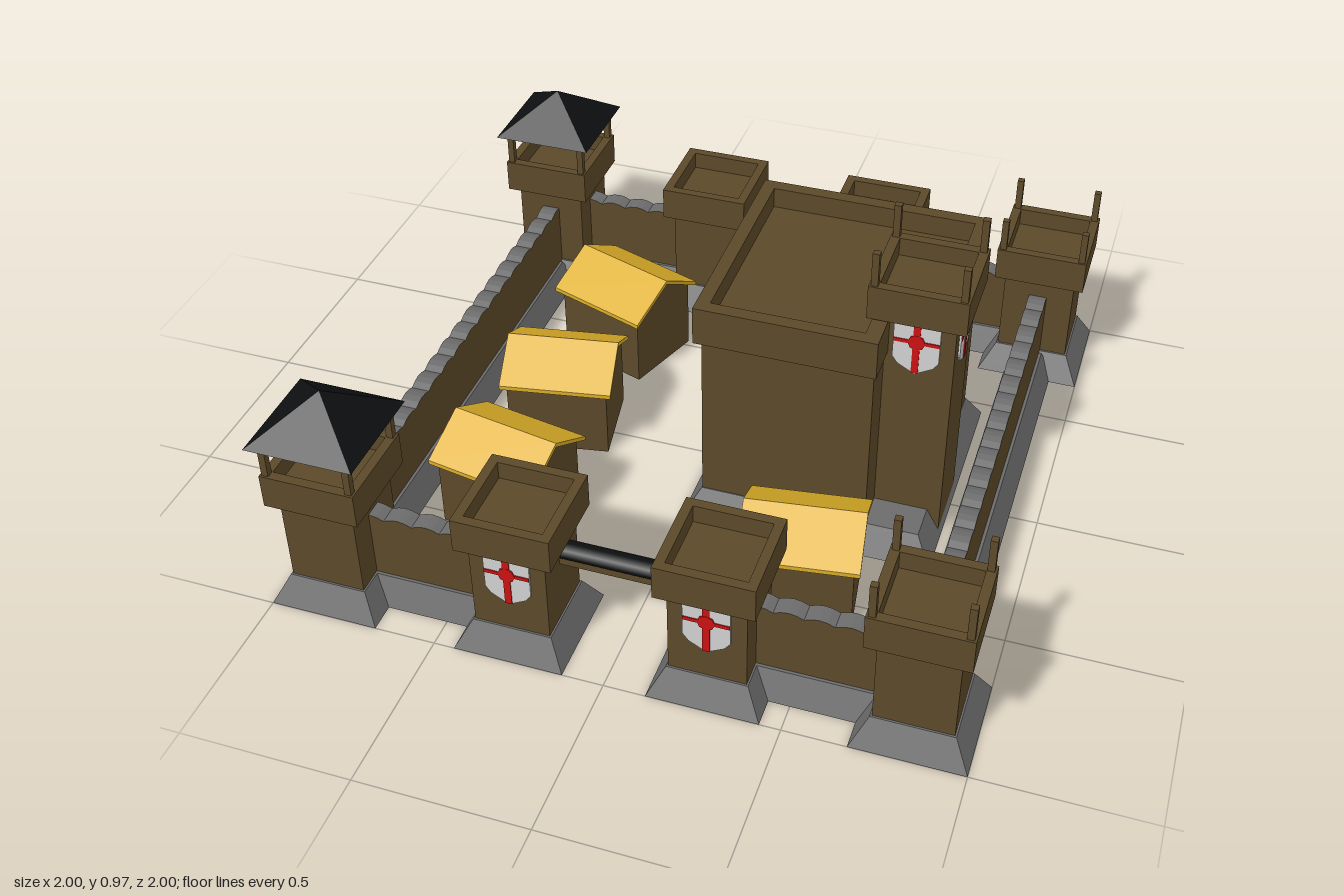
import * as THREE from 'three';

const mat = (name, color) => Object.assign(new THREE.MeshStandardMaterial({ color }), { name });

export function createModel() {
  const wood = mat('wood brown', 0x5c492a);
  const stone = mat('stone grey', 0x6c6c6c);
  stone.side = THREE.DoubleSide;
  const black = mat('roof black', 0x0e0f10);
  const thatch = mat('thatch yellow', 0xdcae27);
  const white = mat('shield white', 0xd2d2d2);
  const red = mat('cross red', 0xcc1212);

  const model = new THREE.Group();
  model.name = 'fort';

  const add = (parent, name, geo, material, x = 0, y = 0, z = 0) => {
    const m = new THREE.Mesh(geo, material);
    m.name = name;
    m.position.set(x, y, z);
    parent.add(m);
    return m;
  };
  const group = (name, x = 0, y = 0, z = 0, parent = model) => {
    const g = new THREE.Group();
    g.name = name;
    g.position.set(x, y, z);
    parent.add(g);
    return g;
  };
  const shapeOf = pts => new THREE.Shape(pts.map(p => new THREE.Vector2(p[0], p[1])));
  const extrude = (shape, depth) => new THREE.ExtrudeGeometry(shape, { depth, bevelEnabled: false });
  // Footprint given in (x, -z), raised along y
  const raise = (shape, height) => extrude(shape, height).rotateX(-Math.PI / 2);
  const square = h => [[-h, -h], [h, -h], [h, h], [-h, h]];

  // Sloped stone footing, open underneath: a box narrowed at the top
  const footing = (w, d, inset, h = 0.085) => {
    const g = new THREE.BoxGeometry(w, h, d).translate(0, h / 2, 0);
    const p = g.attributes.position;
    for (let i = 0; i < p.count; i++) {
      if (p.getY(i) > h / 2) {
        p.setX(i, p.getX(i) - Math.sign(p.getX(i)) * inset);
        p.setZ(i, p.getZ(i) - Math.sign(p.getZ(i)) * inset);
      }
    }
    const index = Array.from(g.index.array);
    index.splice(18, 6); // remove the bottom face
    g.setIndex(index);
    g.clearGroups();
    const flat = g.toNonIndexed();
    flat.computeVertexNormals();
    return flat;
  };

  // Solid platform with a raised rim round it
  const battlement = (parent, outer, inner, y, height, floor) => {
    add(parent, 'platform', raise(shapeOf(outer), floor), wood, 0, y, 0);
    const rim = shapeOf(outer);
    rim.holes.push(shapeOf(inner));
    add(parent, 'parapet', raise(rim, height - floor), wood, 0, y + floor, 0);
  };

  const posts = (parent, y, height) => {
    for (const sx of [-1, 1]) for (const sz of [-1, 1]) {
      add(parent, 'post', new THREE.BoxGeometry(0.02, height, 0.02), wood, sx * 0.124, y + height / 2, sz * 0.124);
    }
  };

  // Shield with a cross, top edge at local y = 0, facing +z
  const shield = (parent, x, y, z, turn = 0) => {
    const g = group('shield', x, y, z, parent);
    g.rotation.y = turn;
    const outline = shapeOf([[-0.066, 0], [-0.066, -0.13], [-0.05, -0.152], [0, -0.18], [0.05, -0.152], [0.066, -0.13], [0.066, 0]]);
    add(g, 'shieldPlate', extrude(outline, 0.006), white);
    add(g, 'crossUpright', new THREE.BoxGeometry(0.02, 0.174, 0.003), red, 0, -0.087, 0.0075);
    add(g, 'crossBar', new THREE.BoxGeometry(0.13, 0.011, 0.003), red, 0, -0.07, 0.0075);
    add(g, 'crossCentre', new THREE.CylinderGeometry(0.025, 0.025, 0.004, 8).rotateX(Math.PI / 2), red, 0, -0.07, 0.0075);
  };

  // Eight wall towers: corners carry posts, the left corners also roofs
  for (const z of [-0.84, 0.84]) for (const x of [-0.84, -0.28, 0.28, 0.84]) {
    const corner = Math.abs(x) > 0.5;
    const t = group(corner ? 'cornerTower' : 'gateTower', x, 0, z);
    add(t, 'towerFooting', footing(0.32, 0.32, 0.045), stone);
    add(t, 'towerBody', new THREE.BoxGeometry(0.22, 0.28, 0.22), wood, 0, 0.226, 0);
    battlement(t, square(0.14), square(0.112), 0.36, 0.106, 0.05);
    if (corner) posts(t, 0.41, 0.16);
    if (x < -0.5) {
      const roof = new THREE.ConeGeometry(0.16 * Math.SQRT2, 0.12, 4, 1).rotateY(Math.PI / 4);
      add(t, 'towerRoof', roof.toNonIndexed(), black, 0, 0.63, 0).geometry.computeVertexNormals();
    }
    if (!corner && z > 0) shield(t, 0, 0.36, 0.111);
  }

  // Walls with a scalloped stone top
  const wall = (x, z, length, turn) => {
    const g = group('wall', x, 0, z);
    g.rotation.y = turn;
    add(g, 'wallFooting', footing(length, 0.15, 0.038), stone);
    const pts = [[-length / 2, 0.08], [length / 2, 0.08]];
    const n = Math.round(length / 0.09) * 4;
    for (let i = n; i >= 0; i--) {
      pts.push([(i / n - 0.5) * length, 0.287 + 0.012 * Math.sin((i / 4 % 1) * Math.PI)]);
    }
    add(g, 'wallBody', extrude(shapeOf(pts), 0.056).translate(0, 0, -0.028), [wood, stone]);
  };
  for (const s of [-1, 1]) {
    wall(s * 0.84, 0, 1.5, Math.PI / 2);
    wall(-0.56, s * 0.84, 0.42, 0);
    wall(0.56, s * 0.84, 0.42, 0);
    // Gate beam
    const beam = new THREE.CylinderGeometry(0.032, 0.032, 0.36, 8).rotateZ(Math.PI / 2).scale(1, 0.7, 1);
    add(model, 'gateBeam', beam, black, 0, 0.315, s * 0.84);
    add(model, 'gateBoard', new THREE.BoxGeometry(0.36, 0.025, 0.03), wood, 0, 0.282, s * 0.84);
  }

  // Keep, with its front left corner cut away for the turret
  const keep = group('keep', 0.36, 0, -0.08);
  const cut = (h, cx, cz) => [[-h, -h], [cx, -h], [cx, -cz], [h, -cz], [h, h], [-h, h]];
  add(keep, 'keepFooting', footing(0.755, 0.755, 0.048), stone);
  add(keep, 'keepBody', raise(shapeOf(cut(0.328, 0.17, 0.2)), 0.56), wood, 0, 0.086, 0);
  battlement(keep, cut(0.348, 0.18, 0.21), cut(0.308, 0.135, 0.165), 0.635, 0.12, 0.055);

  // Turret
  const turret = group('turret', 0.62, 0, 0.028);
  add(turret, 'turretBody', new THREE.BoxGeometry(0.216, 0.765, 0.216), wood, 0, 0.3875, 0);
  battlement(turret, square(0.14), square(0.112), 0.76, 0.106, 0.05);
  posts(turret, 0.81, 0.16);
  shield(turret, 0, 0.76, 0.109);
  shield(turret, 0.109, 0.76, 0, Math.PI / 2);

  // Huts with thatched gable roofs
  const hut = (x, z, turn) => {
    const g = group('hut', x, 0, z);
    g.rotation.y = turn;
    const body = shapeOf([[-0.132, 0], [0.132, 0], [0.132, 0.238], [0, 0.315], [-0.132, 0.238]]);
    add(g, 'hutBody', extrude(body, 0.31).translate(0, 0, -0.155).rotateY(Math.PI / 2), wood);
    const roof = shapeOf([[-0.153, 0.228], [0, 0.316], [0.153, 0.228], [0.153, 0.242], [0, 0.33], [-0.153, 0.242]]);
    add(g, 'hutRoof', extrude(roof, 0.346).translate(0, 0, -0.173).rotateY(Math.PI / 2), thatch);
  };
  hut(-0.465, -0.45, -0.335);
  hut(-0.505, -0.01, 0.175);
  hut(-0.508, 0.43, -0.175);
  hut(0.413, 0.49, 0.14);

  return model;
}
